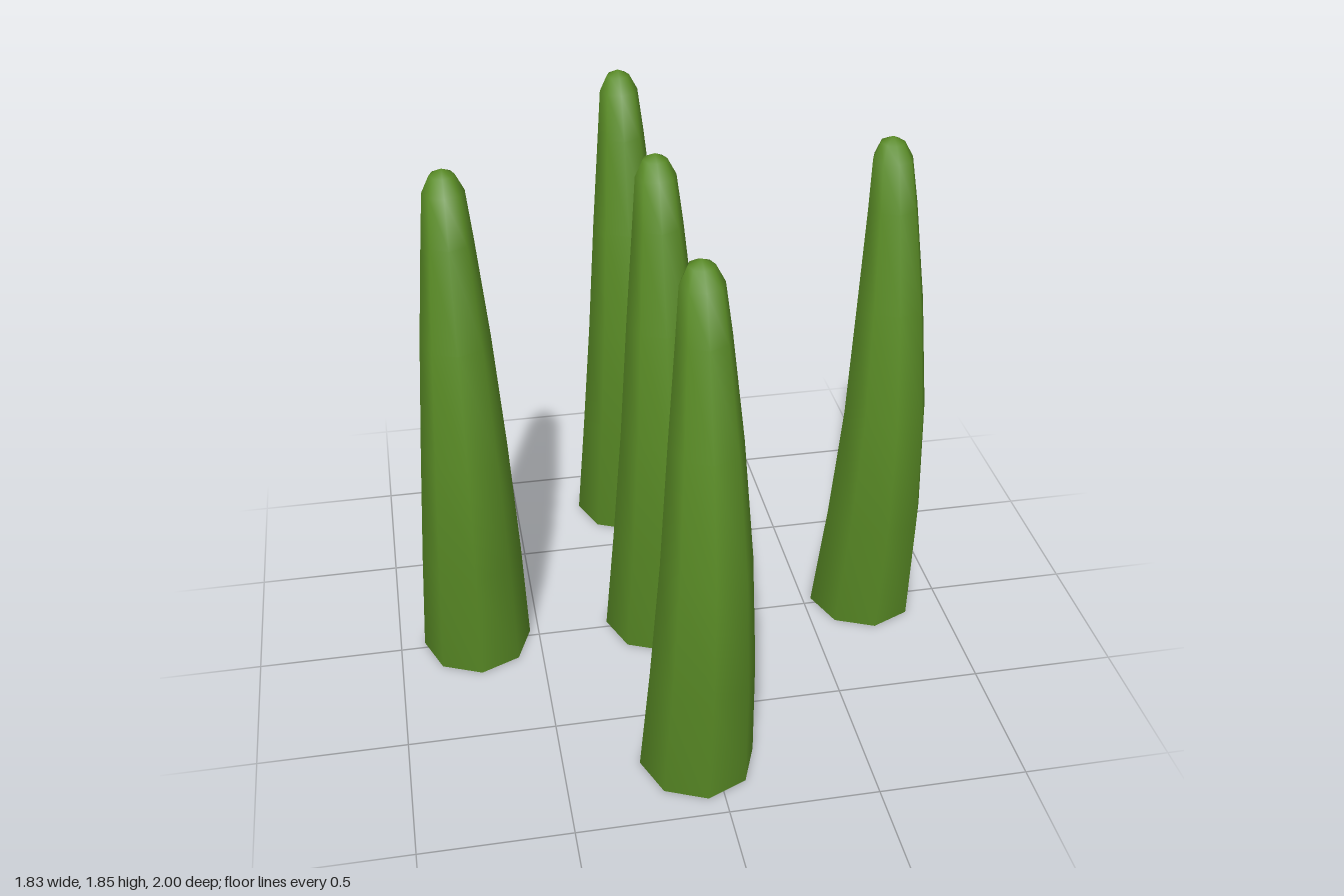
import * as THREE from 'three';
import { toCreasedNormals } from 'three/addons/utils/BufferGeometryUtils.js';

// Cross-sections from base to tip: [height, radius, forward bend]
const RINGS = [
  [0, 0, -0.027],
  [0, 0.192, -0.027],
  [0.45, 0.17, 0.058],
  [0.9, 0.143, 0.098],
  [1.3, 0.114, 0.07],
  [1.63, 0.083, 0.024],
  [1.78, 0.067, -0.01],
  [1.83, 0.04, -0.022],
  [1.85, 0, -0.022],
];
const DEPTH = 1.06; // sections are slightly deeper than wide

// Eight-sided tapered body, each ring shifted along z to make the curve
function tentacleGeometry() {
  const profile = RINGS.map(([y, r]) => new THREE.Vector2(r, y));
  const geo = new THREE.LatheGeometry(profile, 8);
  const pos = geo.attributes.position;
  for (let i = 0; i < pos.count; i++) {
    pos.setZ(i, pos.getZ(i) * DEPTH + RINGS[i % RINGS.length][2]);
  }
  // smooth sides, sharp rim around the flat base
  return toCreasedNormals(geo, 1.15);
}

export function createModel() {
  const model = new THREE.Group();
  model.name = 'tentacles';
  const green = new THREE.MeshStandardMaterial({ color: 0x5a8c26 });
  green.name = 'green';
  const geometry = tentacleGeometry();

  // One in the middle and four around it
  const places = {
    centreTentacle: [-0.055, 0],
    leftTentacle: [0.723, 0],
    rightTentacle: [-0.723, 0],
    frontTentacle: [-0.055, 0.753],
    backTentacle: [-0.055, -0.762],
  };
  for (const [name, [x, z]] of Object.entries(places)) {
    const tentacle = new THREE.Mesh(geometry, green);
    tentacle.name = name;
    tentacle.position.set(x, 0, z);
    model.add(tentacle);
  }
  return model;
}
